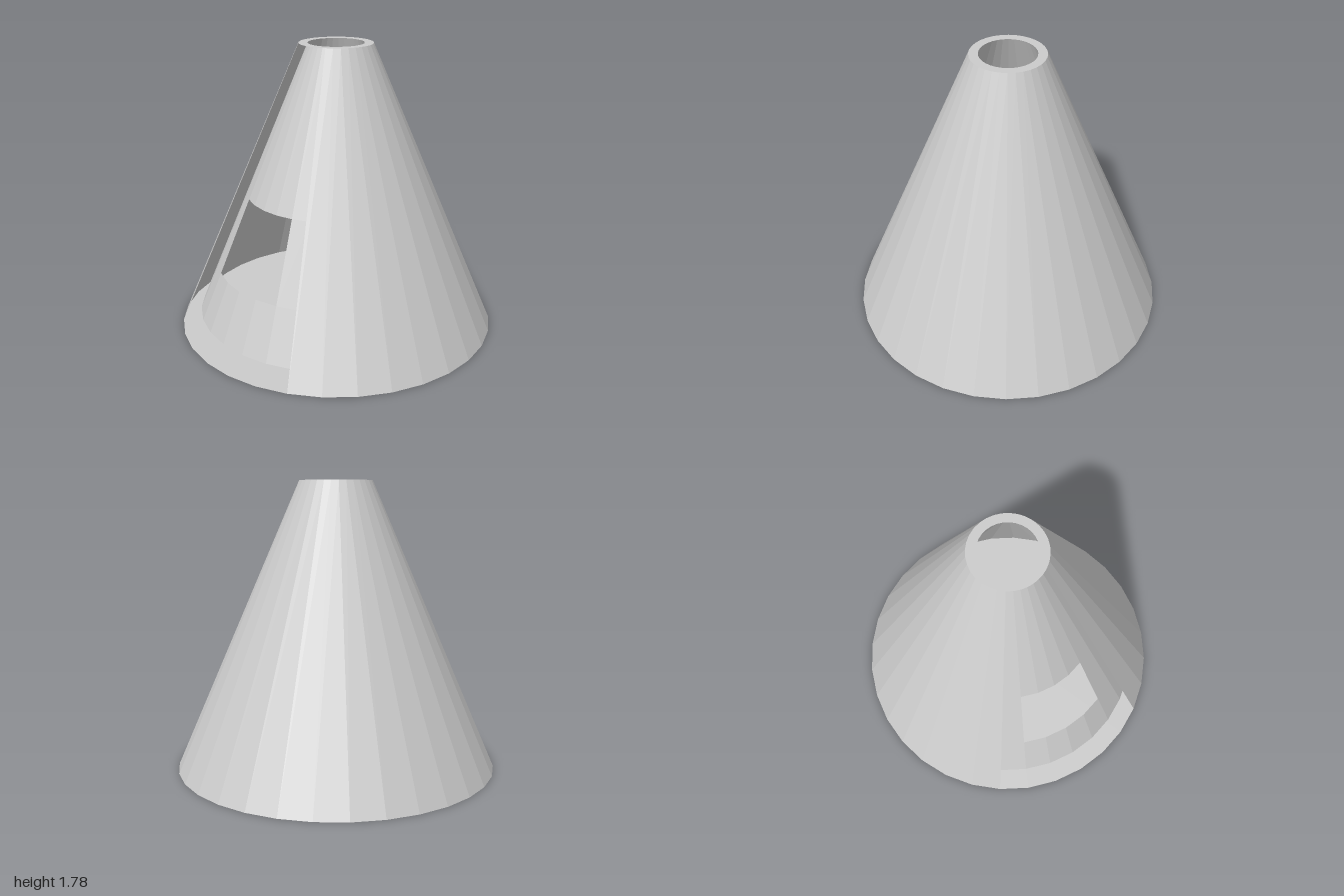
import * as THREE from 'three';

const SIDES = 32;
const STEP = (Math.PI * 2) / SIDES;
const HEIGHT = 1.78;
const FLOOR = 0.08;

const material = new THREE.MeshStandardMaterial({
  color: 0xcccccc, flatShading: true, side: THREE.DoubleSide,
});

function addPart(group, name, geometry, y) {
  const mesh = new THREE.Mesh(geometry, material);
  mesh.name = name;
  mesh.position.y = y;
  group.add(mesh);
}

// Open conical band from y0 to y1, leaving out `gap` facets centred on -x
function band(group, name, radiusAt, y0, y1, gap = 0) {
  const count = SIDES - gap;
  const start = Math.PI * 1.5 + (gap / 2) * STEP;
  const geometry = new THREE.CylinderGeometry(
    radiusAt(y1), radiusAt(y0), y1 - y0, count, 1, true, start, count * STEP);
  addPart(group, name, geometry, (y0 + y1) / 2);
}

export function createModel() {
  const group = new THREE.Group();
  group.name = 'hollowCone';

  const outerRadius = (y) => THREE.MathUtils.lerp(1, 0.225, y / HEIGHT);
  const innerRadius = (y) => THREE.MathUtils.lerp(0.915, 0.17, y / HEIGHT);

  // Outer shell with a six-facet cutaway
  band(group, 'outerShell', outerRadius, 0, HEIGHT, 6);

  // Inner shell with a four-facet window
  band(group, 'innerShellLower', innerRadius, FLOOR, 0.385);
  band(group, 'innerShellWindowBand', innerRadius, 0.385, 0.85, 4);
  band(group, 'innerShellUpper', innerRadius, 0.85, HEIGHT);

  // Rim joining both shells at the top
  const rim = new THREE.RingGeometry(innerRadius(HEIGHT), outerRadius(HEIGHT), SIDES);
  addPart(group, 'topRim', rim.rotateX(-Math.PI / 2), HEIGHT);

  // Underside and the floor of the cavity
  const base = new THREE.CircleGeometry(1, SIDES).rotateX(Math.PI / 2);
  addPart(group, 'base', base, 0);
  const floor = new THREE.CircleGeometry(innerRadius(FLOOR), SIDES).rotateX(-Math.PI / 2);
  addPart(group, 'innerFloor', floor, FLOOR);

  return group;
}
